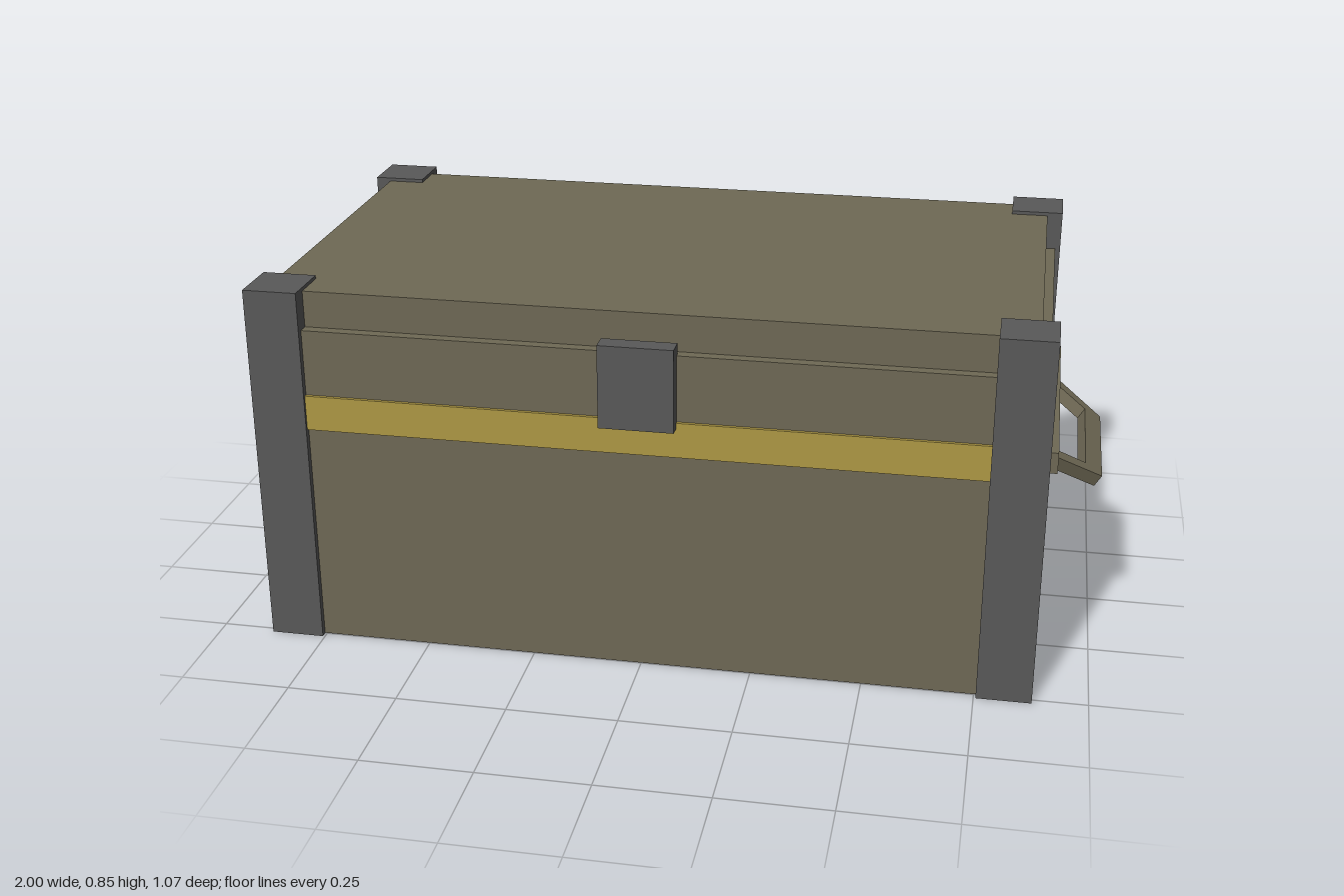
import * as THREE from 'three';

export function createModel() {
  const model = new THREE.Group();
  model.name = 'chest';

  const mat = (name, color) => {
    const m = new THREE.MeshStandardMaterial({ color });
    m.name = name;
    return m;
  };
  const olive = mat('olive paint', 0x6f6955);
  const gold = mat('gold stripe', 0xae9845);
  const steel = mat('dark steel', 0x595959);

  // Box given by its full width and depth about a centre, and its bottom and top
  const box = (name, material, w, d, y0, y1, x = 0, z = 0) => {
    const mesh = new THREE.Mesh(new THREE.BoxGeometry(w, y1 - y0, d), material);
    mesh.position.set(x, (y0 + y1) / 2, z);
    mesh.name = name;
    model.add(mesh);
    return mesh;
  };

  // Body, stripe running all round, and the stepped lid
  box('body', olive, 1.73, 1.0, 0.001, 0.522);
  box('stripe', gold, 1.744, 1.016, 0.522, 0.603);
  box('lidRim', olive, 1.73, 1.0, 0.603, 0.755);
  box('lidTop', olive, 1.682, 0.95, 0.755, 0.838);

  // Corner posts
  for (const sx of [-1, 1]) {
    for (const sz of [-1, 1]) {
      box('cornerPost', steel, 0.122, 0.125, 0, 0.846, sx * 0.816, sz * 0.4525);
    }
  }

  // Latches on the front and back
  for (const sz of [-1, 1]) {
    box('latch', steel, 0.166, 0.045, 0.59, 0.78, 0, sz * 0.5125);
  }

  // Handle outline: x runs outward from the wall, y runs along the wall
  const outline = new THREE.Shape(
    [
      [0, 0.245], [0.14, 0.175], [0.14, -0.175], [0, -0.245],
      [-0.008, -0.208], [0.095, -0.16], [0.095, 0.16], [-0.008, 0.208],
    ].map(([x, y]) => new THREE.Vector2(x, y))
  );
  const handleGeo = new THREE.ExtrudeGeometry(outline, { depth: 0.03, bevelEnabled: false });
  handleGeo.rotateX(-Math.PI / 2); // lay flat, thickness upward
  handleGeo.translate(-0.14, -0.03, 0); // outer top edge at the origin
  handleGeo.rotateZ(-0.56); // droop outward

  // Side handles with their mounting rails
  for (const side of [1, -1]) {
    box('handleRail', olive, 0.04, 0.666, 0.473, 0.522, side * 0.877);
    const handle = new THREE.Mesh(handleGeo, olive);
    handle.name = side > 0 ? 'leftHandle' : 'rightHandle';
    handle.rotation.y = side > 0 ? 0 : Math.PI;
    handle.position.set(side, 0.405, 0);
    model.add(handle);
  }

  return model;
}
